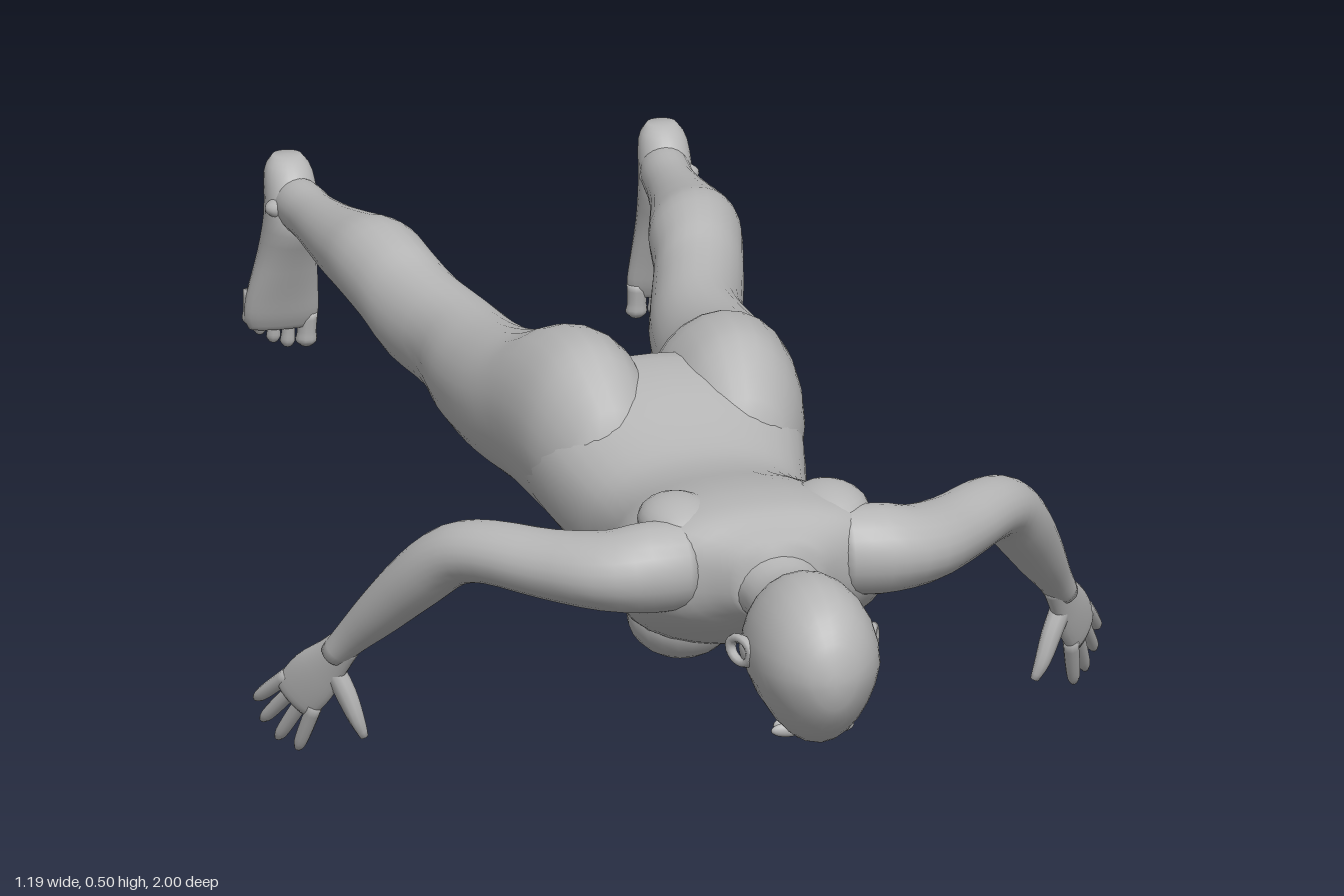
import * as THREE from 'three';

const V = (x, y, z) => new THREE.Vector3(x, y, z);
const skin = new THREE.MeshStandardMaterial({ color: 0xb6b6b6 });
skin.name = 'grey skin';

// Smooth closed loft through rows of [x, y, z, halfWidth, halfHeight].
// dir fixes the plane of all sections, otherwise they follow the path.
function loft(rows, { ref = V(0, 1, 0), dir = null, power = 2, taper = 0, sides = 24, steps = 3 } = {}) {
  const path = new THREE.CatmullRomCurve3(rows.map(r => V(r[0], r[1], r[2])), false, 'catmullrom', 0.5);
  const size = new THREE.CatmullRomCurve3(rows.map(r => V(r[3], r[4], 0)), false, 'catmullrom', 0.5);
  const n = (rows.length - 1) * steps;
  const pos = [], index = [];
  for (let i = -1; i <= n + 1; i++) {
    const t = Math.min(Math.max(i / n, 0), 1);
    const pole = i < 0 || i > n ? 0 : 1;
    const c = path.getPoint(t), s = size.getPoint(t);
    const d = dir || path.getTangent(t);
    const u = V().crossVectors(ref, d).normalize();
    const v = V().crossVectors(d, u).normalize();
    for (let j = 0; j < sides; j++) {
      const a = (j / sides) * Math.PI * 2;
      const round = q => Math.sign(q) * Math.pow(Math.abs(q), 2 / power);
      const sy = round(Math.sin(a));
      const sx = round(Math.cos(a)) * (1 + taper * Math.min(0, sy));
      const p = c.clone().addScaledVector(u, sx * s.x * pole).addScaledVector(v, sy * s.y * pole);
      pos.push(p.x, p.y, p.z);
    }
  }
  for (let i = 0; i < n + 2; i++) {
    for (let j = 0; j < sides; j++) {
      const a = i * sides + j, b = i * sides + (j + 1) % sides;
      index.push(a, b, b + sides, a, b + sides, a + sides);
    }
  }
  const g = new THREE.BufferGeometry();
  g.setAttribute('position', new THREE.Float32BufferAttribute(pos, 3));
  g.setIndex(index);
  g.computeVertexNormals();
  return g;
}

export function createModel() {
  const model = new THREE.Group();
  model.name = 'lyingFigure';
  const add = (name, geometry, parent = model) => {
    const m = new THREE.Mesh(geometry, skin);
    m.name = name;
    parent.add(m);
    return m;
  };
  const blob = (name, p, r, parent = model) => {
    const m = add(name, new THREE.SphereGeometry(1, 20, 14), parent);
    m.position.set(...p);
    m.scale.set(...r);
    return m;
  };
  // [z, top, bottom, halfWidth, x] to loft row
  const slab = ([z, top, bottom, w, x = 0]) => [x, (top + bottom) / 2, z, w, (top - bottom) / 2];

  // Torso from neck root to pelvis
  add('torso', loft([
    [0.70, 0.425, 0.32, 0.055], [0.66, 0.44, 0.30, 0.10], [0.62, 0.455, 0.275, 0.165],
    [0.56, 0.457, 0.24, 0.19], [0.50, 0.45, 0.22, 0.185], [0.44, 0.438, 0.208, 0.173],
    [0.36, 0.42, 0.21, 0.153], [0.28, 0.413, 0.213, 0.15], [0.20, 0.43, 0.21, 0.165],
    [0.10, 0.46, 0.22, 0.187], [0.0, 0.465, 0.245, 0.195], [-0.07, 0.42, 0.27, 0.15],
  ].map(slab), { dir: V(0, 0, -1), power: 2.3, sides: 32 }));

  // Neck and head, face pointing down
  add('neck', loft([
    [0.80, 0.415, 0.30, 0.05], [0.74, 0.405, 0.31, 0.054], [0.69, 0.412, 0.31, 0.06], [0.62, 0.43, 0.30, 0.085],
  ].map(slab), { dir: V(0, 0, -1) }));
  add('head', loft([
    [0.998, 0.34, 0.31, 0.012], [0.985, 0.38, 0.275, 0.042], [0.95, 0.42, 0.235, 0.071],
    [0.90, 0.437, 0.211, 0.086], [0.84, 0.435, 0.21, 0.087], [0.79, 0.42, 0.212, 0.08],
    [0.755, 0.395, 0.212, 0.07], [0.73, 0.345, 0.222, 0.052], [0.72, 0.31, 0.24, 0.03],
  ].map(slab), { dir: V(0, 0, -1), taper: 0.18 }));
  add('nose', loft([
    [0, 0.222, 0.865, 0.009, 0.012], [0, 0.212, 0.84, 0.011, 0.014],
    [0, 0.204, 0.818, 0.016, 0.015], [0, 0.212, 0.805, 0.012, 0.008],
  ], { dir: V(0, 0, -1), sides: 12 }));
  blob('upperLip', [0, 0.213, 0.785], [0.024, 0.01, 0.006]);
  blob('lowerLip', [0, 0.214, 0.774], [0.021, 0.011, 0.007]);
  blob('chin', [0, 0.222, 0.745], [0.026, 0.018, 0.018]);

  for (const s of [1, -1]) {
    const side = new THREE.Group();
    side.name = s > 0 ? 'leftSide' : 'rightSide';
    model.add(side);
    const put = (name, rows, opts) => add(name, loft(rows.map(([x, ...r]) => [x * s, ...r]), opts), side);

    // Face details
    blob('eye', [s * 0.034, 0.222, 0.85], [0.016, 0.01, 0.009], side);
    blob('brow', [s * 0.034, 0.222, 0.87], [0.024, 0.01, 0.008], side);
    const ear = add('ear', new THREE.TorusGeometry(0.02, 0.007, 8, 18), side);
    ear.position.set(s * 0.092, 0.33, 0.838);
    ear.rotation.set(0, s * (Math.PI / 2 - 0.35), 0);
    ear.scale.set(1.25, 0.85, 1);
    blob('earInner', [s * 0.086, 0.33, 0.838], [0.007, 0.016, 0.023], side);

    // Chest and shoulder blade
    blob('breast', [s * 0.082, 0.262, 0.475], [0.075, 0.062, 0.075], side);
    blob('shoulderBlade', [s * 0.105, 0.42, 0.55], [0.055, 0.036, 0.075], side);

    // Arm
    put('arm', [
      [0.10, 0.375, 0.60, 0.055, 0.06], [0.16, 0.375, 0.602, 0.066, 0.062], [0.215, 0.37, 0.585, 0.068, 0.054],
      [0.28, 0.366, 0.53, 0.057, 0.047], [0.345, 0.366, 0.462, 0.051, 0.043], [0.385, 0.35, 0.415, 0.048, 0.043],
      [0.42, 0.306, 0.37, 0.045, 0.042], [0.46, 0.243, 0.315, 0.036, 0.034],
      [0.49, 0.195, 0.275, 0.026, 0.025], [0.508, 0.163, 0.25, 0.024, 0.02],
    ]);

    // Hand: palm, four fingers and a thumb
    const palmRef = V(0.756 * s, -0.04, 0.64);
    put('palm', [
      [0.494, 0.185, 0.266, 0.022, 0.018], [0.51, 0.157, 0.246, 0.028, 0.018],
      [0.53, 0.122, 0.22, 0.038, 0.017], [0.547, 0.091, 0.199, 0.037, 0.013], [0.552, 0.08, 0.192, 0.03, 0.009],
    ], { ref: palmRef });
    const tips = [[0.589, 0.066, 0.132], [0.582, 0.038, 0.141], [0.565, 0.016, 0.158], [0.543, 0.007, 0.182]];
    tips.forEach((t, i) => {
      const o = 0.028 - i * 0.0187;
      const base = [0.543 + o * 0.5, 0.098 + o * 0.65, 0.204 - o * 0.55];
      const at = (k, r) => [...base.map((b, j) => b + (t[j] - b) * k), r, r];
      put('finger', [at(0, 0.011), at(0.5, 0.0105), at(0.85, 0.009), at(1, 0.005)], { ref: palmRef, sides: 10 });
    });
    put('thumb', [
      [0.512, 0.145, 0.244, 0.015, 0.015], [0.494, 0.105, 0.252, 0.015, 0.014],
      [0.48, 0.068, 0.257, 0.011, 0.011], [0.469, 0.042, 0.255, 0.006, 0.006],
    ], { ref: palmRef, sides: 10 });

    // Leg with buttock, knee and calf
    put('leg', [
      [0.18, 0.42, 0.25, 0.06, 0.09], [0.10, 0.485, 0.24, 0.086, 0.1], [0.04, 0.508, 0.243, 0.097, 0.105],
      [-0.05, 0.50, 0.25, 0.105, 0.11], [-0.12, 0.47, 0.255, 0.1, 0.127], [-0.20, 0.447, 0.26, 0.087, 0.147],
      [-0.30, 0.43, 0.265, 0.078, 0.157], [-0.40, 0.427, 0.278, 0.067, 0.165], [-0.50, 0.437, 0.292, 0.065, 0.192],
      [-0.56, 0.455, 0.318, 0.063, 0.209], [-0.63, 0.465, 0.338, 0.065, 0.222], [-0.70, 0.452, 0.345, 0.057, 0.233],
      [-0.78, 0.436, 0.35, 0.045, 0.243], [-0.86, 0.425, 0.352, 0.036, 0.25], [-0.92, 0.425, 0.352, 0.035, 0.256],
      [-0.96, 0.42, 0.36, 0.03, 0.26],
    ].map(slab), { dir: V(0, 0, -1) });

    // Foot, sole turned backwards, toes down
    put('foot', [
      [0.262, 0.446, -0.968, 0.02, 0.018], [0.262, 0.425, -0.96, 0.033, 0.037], [0.262, 0.37, -0.942, 0.037, 0.052],
      [0.265, 0.31, -0.955, 0.041, 0.04], [0.268, 0.25, -0.969, 0.05, 0.028],
      [0.268, 0.215, -0.976, 0.052, 0.021], [0.268, 0.195, -0.979, 0.044, 0.013],
    ], { ref: V(0, 0, 1), dir: V(0, -1, 0) });
    for (const [x, tip, r] of [[0.231, 0.164, 0.015], [0.257, 0.165, 0.0105], [0.277, 0.173, 0.01],
      [0.296, 0.186, 0.0095], [0.312, 0.202, 0.009]]) {
      put('toe', [
        [x, tip + 0.05, -0.977, r, r], [x, tip + 0.022, -0.98, r * 0.9, r * 0.9],
        [x, tip + 0.008, -0.983, r, r], [x, tip, -0.983, r * 0.5, r * 0.5],
      ], { ref: V(0, 0, 1), dir: V(0, -1, 0), sides: 10 });
    }
    blob('ankle', [s * 0.262, 0.385, -0.925], [0.042, 0.018, 0.022], side);
  }
  return model;
}
